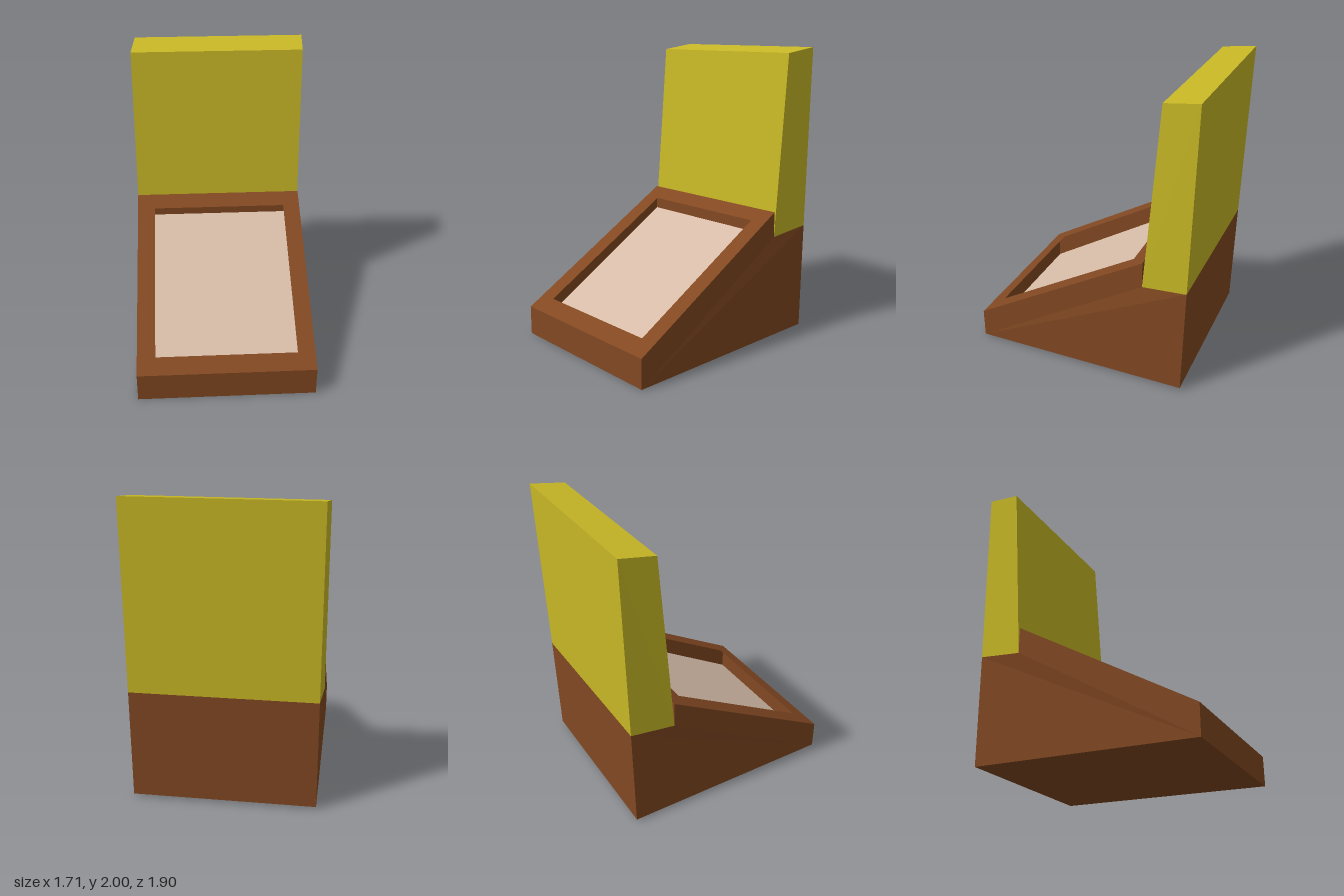
import * as THREE from 'three';

const brown = new THREE.MeshStandardMaterial({ color: 0x824822, side: THREE.DoubleSide });
const yellow = new THREE.MeshStandardMaterial({ color: 0xc8b826 });
const pale = new THREE.MeshStandardMaterial({ color: 0xd6bca8, side: THREE.DoubleSide });

const LEFT = 0.586, RIGHT = -0.611; // side planes

// Prism across the full width from a [z, y] side profile; the back leans a little sideways
function prism(profile) {
  const shape = new THREE.Shape(profile.map(([z, y]) => new THREE.Vector2(z, y)));
  const geo = new THREE.ExtrudeGeometry(shape, { depth: LEFT - RIGHT, bevelEnabled: false });
  geo.rotateY(-Math.PI / 2).translate(LEFT, 0, 0);
  const p = geo.attributes.position;
  for (let i = 0; i < p.count; i++) if (p.getZ(i) < -0.7) p.setX(i, p.getX(i) + 0.021);
  geo.computeVertexNormals();
  return geo;
}

// Flat four-cornered sheet
function quad(a, b, c, d) {
  const geo = new THREE.BufferGeometry();
  geo.setAttribute('position', new THREE.Float32BufferAttribute([a, b, c, a, c, d].flat(), 3));
  geo.computeVertexNormals();
  return geo;
}

export function createModel() {
  const group = new THREE.Group();
  const add = (name, geo, mat) => {
    const mesh = new THREE.Mesh(geo, mat);
    mesh.name = name;
    group.add(mesh);
  };

  // Side profile corners as [z, y]
  const toe = [0.766, 0], lip = [0.766, 0.2], peak = [-0.44, 0.9], hinge = [-0.44, 0.725];
  const backTop = [-0.741, 0.76], backFoot = [-0.726, 0.02];
  const at = (x, [z, y], lift = 0) => [x, y + lift, z];

  add('base', prism([toe, hinge, backTop, backFoot]), brown);
  add('backrest', prism([hinge, [-0.541, 1.965], [-0.772, 2], backTop]), yellow);

  // Sloping inner panel, running under the frame to the walls
  add('innerPanel', quad(at(RIGHT, toe, 0.003), at(LEFT, toe, 0.003),
    at(LEFT, hinge, 0.003), at(RIGHT, hinge, 0.003)), pale);

  // Thin walls around the hollow above the panel
  add('leftWall', quad(at(LEFT, toe), at(LEFT, hinge), at(LEFT, peak), at(LEFT, lip)), brown);
  add('rightWall', quad(at(RIGHT, toe), at(RIGHT, lip), at(RIGHT, peak), at(RIGHT, hinge)), brown);
  add('frontWall', quad(at(RIGHT, toe), at(LEFT, toe), at(LEFT, lip), at(RIGHT, lip)), brown);
  add('rearWall', quad(at(LEFT, hinge), at(RIGHT, hinge), at(RIGHT, peak), at(LEFT, peak)), brown);

  // Sloping frame with a rectangular opening
  const rect = (x0, x1, z0, z1) =>
    [[x0, -z1], [x1, -z1], [x1, -z0], [x0, -z0]].map(([x, y]) => new THREE.Vector2(x, y));
  const frame = new THREE.Shape(rect(RIGHT, LEFT, peak[0], lip[0]));
  frame.holes.push(new THREE.Path(rect(-0.488, 0.467, -0.336, 0.657)));
  const frameGeo = new THREE.ShapeGeometry(frame);
  const p = frameGeo.attributes.position;
  const slope = (peak[1] - lip[1]) / (lip[0] - peak[0]);
  for (let i = 0; i < p.count; i++) {
    const z = -p.getY(i);
    p.setXYZ(i, p.getX(i), lip[1] + (lip[0] - z) * slope, z);
  }
  frameGeo.computeVertexNormals();
  add('frame', frameGeo, brown);

  group.rotation.y = THREE.MathUtils.degToRad(24.4);
  const model = new THREE.Group();
  model.add(group);
  return model;
}
